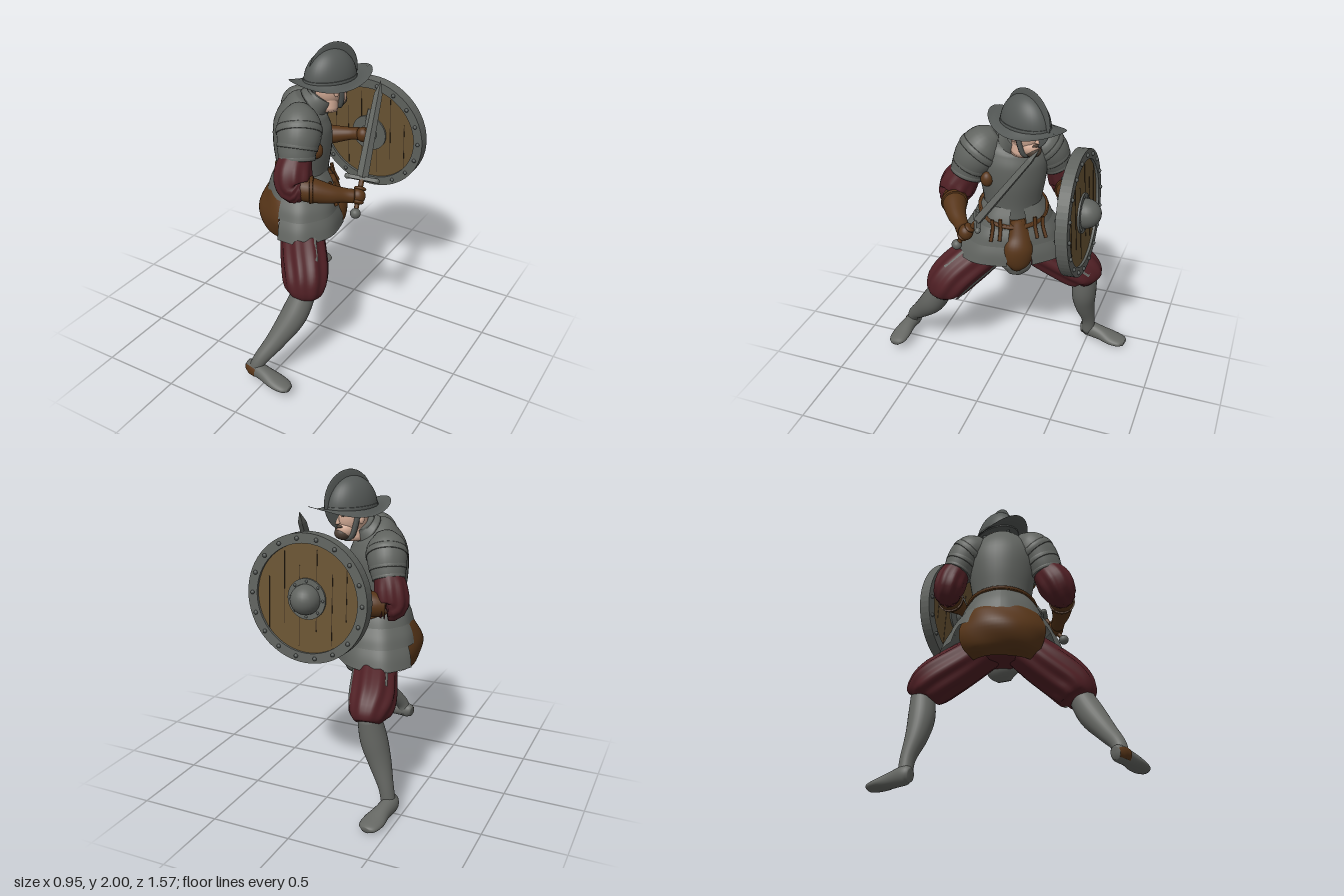
import * as THREE from 'three';

const V = (x, y, z) => new THREE.Vector3(x, y, z);
const paint = (name, color) => {
  const m = new THREE.MeshStandardMaterial({ color, side: THREE.DoubleSide });
  m.name = name;
  return m;
};

// Skin through elliptical sections [x, y, z, halfWidth, halfDepth]; ref is the facing of angle 0.
function loft(sections, ref, { n = 28, steps = 5, from = 0, to = Math.PI * 2, grow = 1, mod } = {}) {
  const centre = new THREE.CatmullRomCurve3(sections.map(s => V(s[0], s[1], s[2])), false, 'catmullrom');
  const size = new THREE.CatmullRomCurve3(sections.map(s => V(s[3], s[4] ?? s[3], 0)), false, 'catmullrom');
  const full = to - from > 6.28, cols = full ? n : n + 1, rows = (sections.length - 1) * steps;
  const pos = [], idx = [];
  for (let i = 0; i <= rows; i++) {
    const u = i / rows, c = centre.getPoint(u), r = size.getPoint(u), t = centre.getTangent(u);
    const f = ref.clone().addScaledVector(t, -t.dot(ref)).normalize(), s = t.clone().cross(f);
    for (let j = 0; j < cols; j++) {
      const th = from + (to - from) * j / n, [k, lift] = mod ? mod(th, u) : [1, 0];
      const p = c.clone().addScaledVector(s, r.x * k * grow * Math.sin(th))
        .addScaledVector(f, r.y * k * grow * Math.cos(th)).addScaledVector(t, lift);
      pos.push(p.x, p.y, p.z);
      if (i < rows && (full || j < n)) {
        const a = i * cols + j, b = i * cols + (j + 1) % cols;
        idx.push(a, b, b + cols, a, b + cols, a + cols);
      }
    }
  }
  if (full) for (const [row, p] of [[0, sections[0]], [rows, sections[sections.length - 1]]]) {
    const k = pos.push(p[0], p[1], p[2]) / 3 - 1;
    for (let j = 0; j < n; j++) {
      const a = row * cols + j, b = row * cols + (j + 1) % n;
      idx.push(...(row ? [a, b, k] : [b, a, k]));
    }
  }
  const g = new THREE.BufferGeometry();
  g.setAttribute('position', new THREE.Float32BufferAttribute(pos, 3));
  g.setIndex(idx);
  g.computeVertexNormals();
  return g;
}

const faceted = g => { const f = g.toNonIndexed(); f.computeVertexNormals(); return f; };

export function createModel() {
  const steel = paint('steel', 0x60635f), darkSteel = paint('dark steel', 0x545856);
  const hose = paint('grey hose', 0x656763), red = paint('dark red cloth', 0x4f1f24);
  const leather = paint('brown leather', 0x573518), wood = paint('shield wood', 0x6a5433);
  const groove = paint('dark groove', 0x3c2e1e), skin = paint('skin', 0xdab19b);
  const hair = paint('hair', 0x4d4036);
  const model = new THREE.Group();
  const sub = (name, parent = model) => { const g = new THREE.Group(); g.name = name; parent.add(g); return g; };
  const add = (parent, name, geo, mat, p = [0, 0, 0], s = [1, 1, 1], r = [0, 0, 0]) => {
    const m = new THREE.Mesh(geo, mat);
    m.name = name;
    m.position.set(...p); m.scale.set(...s); m.rotation.set(...r);
    parent.add(m);
    return m;
  };
  const ball = new THREE.SphereGeometry(1, 24, 16);
  const up = V(0, 1, 0), F = V(0.88, 0, -0.47).normalize();   // F: torso facing
  const S = V(-0.47, 0, -0.88).normalize();                   // towards the shield arm
  const at = (y, f, s) => [-0.14 + F.x * f + S.x * s, y, -0.02 + F.z * f + S.z * s];
  const body = (y, a, b, f = 0) => [...at(y, f, 0), a, b];

  // Torso armour
  const torso = sub('torso');
  add(torso, 'cuirass', loft([body(1.1, 0.185, 0.155), body(1.2, 0.185, 0.16), body(1.36, 0.21, 0.18),
    body(1.5, 0.215, 0.175), body(1.6, 0.17, 0.135, 0.02), body(1.66, 0.09, 0.09, 0.05)], F,
  { n: 36, mod: th => [1 + 0.05 * Math.pow(Math.max(0, Math.cos(th)), 12), 0] }), steel);
  add(torso, 'gorget', loft([[-0.09, 1.62, -0.06, 0.12, 0.11], [-0.06, 1.65, -0.08, 0.09], [-0.05, 1.67, -0.09, 0.083]], F), steel);
  add(torso, 'belt', loft([body(1.138, 0.222, 0.2, 0.018), body(1.152, 0.228, 0.208, 0.023), body(1.166, 0.218, 0.196, 0.028)], F), leather);
  add(torso, 'armholeStrap', ball, leather, at(1.39, 0.1, -0.18), [0.04, 0.05, 0.04]);

  // Skirt of overlapping plates, open at the groin and the seat
  const skirt = sub('plateSkirt');
  const lames = [[1.2, 0.185, 0.162, 1.05, 0.265, 0.22, Math.PI, Math.PI], [1.08, 0.25, 0.21, 0.96, 0.325, 0.25, 2.5, 2.15],
    [0.99, 0.305, 0.24, 0.84, 0.38, 0.275, 2.25, 2.1]];
  for (const [y0, a0, b0, y1, a1, b1, shieldEnd, swordEnd] of lames) for (const side of [1, -1]) {
    const [from, to] = side > 0 ? [0.22, shieldEnd] : [-swordEnd, -0.22];
    add(skirt, 'skirtPlate', loft([body(y1, a1, b1), body((y0 + y1) / 2, (a0 + a1) / 2 + 0.008, (b0 + b1) / 2 + 0.008),
      body(y0, a0, b0)], F, { from, to, mod: th => [1 + 0.012 * Math.cos(th * 8), 0] }), steel);
  }
  add(skirt, 'leatherSeat', loft([body(0.75, 0.21, 0.18), body(0.81, 0.28, 0.25), body(0.92, 0.31, 0.28), body(1.03, 0.275, 0.235),
    body(1.1, 0.225, 0.19)], F, { from: 2.2, to: 4.22, mod: (th, u) => [1 + 0.02 * Math.sin(th * 5 + u * 9), 0] }), leather);
  add(skirt, 'pelvis', loft([body(0.77, 0.1, 0.1), body(0.84, 0.2, 0.17), body(0.95, 0.21, 0.18), body(1.08, 0.17, 0.14)], F), red);
  add(skirt, 'codpiece', loft([[0.06, 0.79, -0.11, 0.03], [0.06, 0.85, -0.12, 0.085, 0.06], [0.05, 0.94, -0.12, 0.1, 0.075],
    [0.03, 1.02, -0.12, 0.075, 0.055], [0.01, 1.12, -0.1, 0.045, 0.04]], F), leather);
  add(skirt, 'loincloth', loft([[0.02, 0.72, -0.09, 0.04, 0.03], [0.0, 0.77, -0.09, 0.1, 0.07], [-0.02, 0.84, -0.08, 0.1, 0.08]], F), hose);
  for (const s of [-0.16, -0.11, 0.11, 0.16]) {
    const g = new THREE.TubeGeometry(new THREE.CatmullRomCurve3([V(...at(1.14, 0.18, s)), V(...at(1.08, 0.195, s)),
      V(...at(1.01, 0.225, s * 1.1))]), 8, 0.012, 6);
    add(skirt, 'hangingStrap', g, leather);
  }

  // Legs: puffed breeches with a pale panel and a slash, hose and shoes
  const flute = (th, u) => [1 + 0.05 * Math.cos(th * 9) * Math.sin(Math.PI * u), 0];
  const leg = (name, thigh, shin, shoe, ref, mid, slash) => {
    const g = sub(name);
    add(g, 'breeches', loft(thigh, ref, { n: 72, mod: flute }), red);
    add(g, 'breechesPanel', loft(thigh.slice(0, -1), ref, { n: 6, from: mid - 0.12, to: mid + 0.12, grow: 1.055 }), hose);
    add(g, 'breechesSlash', loft(thigh.slice(1, 3), ref, { n: 4, from: slash - 0.06, to: slash + 0.06, grow: 1.055 }), hose);
    add(g, 'hose', loft(shin, ref), hose);
    add(g, 'shoe', loft(shoe, up), hose);
    return g;
  };
  leg('frontLeg',
    [[-0.16, 0.9, -0.06, 0.12], [-0.205, 0.8, -0.22, 0.132], [-0.265, 0.69, -0.4, 0.14], [-0.28, 0.63, -0.49, 0.12], [-0.285, 0.58, -0.52, 0.075]],
    [[-0.285, 0.63, -0.5, 0.07], [-0.31, 0.46, -0.48, 0.083], [-0.35, 0.32, -0.48, 0.07], [-0.4, 0.17, -0.5, 0.047], [-0.42, 0.05, -0.5, 0.045]],
    [[-0.43, 0.055, -0.45, 0.03, 0.04], [-0.43, 0.06, -0.49, 0.048, 0.058], [-0.415, 0.05, -0.59, 0.052, 0.05],
      [-0.4, 0.037, -0.68, 0.07, 0.036], [-0.39, 0.03, -0.75, 0.06, 0.026], [-0.385, 0.025, -0.775, 0.03, 0.018]],
    V(1, 0, 0), -0.62, -2.35);
  const rearLeg = leg('rearLeg',
    [[-0.08, 0.9, 0.06, 0.125], [-0.015, 0.79, 0.18, 0.14], [0.08, 0.67, 0.31, 0.143], [0.115, 0.58, 0.37, 0.125], [0.12, 0.52, 0.39, 0.075]],
    [[0.12, 0.57, 0.38, 0.075], [0.09, 0.42, 0.47, 0.083], [0.03, 0.28, 0.585, 0.062], [-0.03, 0.17, 0.68, 0.045], [-0.055, 0.09, 0.7, 0.045]],
    [[-0.11, 0.1, 0.69, 0.03, 0.035], [-0.075, 0.105, 0.695, 0.045, 0.05], [0.02, 0.1, 0.71, 0.05, 0.045],
      [0.11, 0.085, 0.72, 0.062, 0.035], [0.18, 0.075, 0.725, 0.055, 0.025], [0.215, 0.07, 0.725, 0.03, 0.016]],
    V(0.6, 0, -0.8), -0.35, 1.3);
  add(rearLeg, 'heelPatch', loft([[-0.11, 0.1, 0.69, 0.034, 0.038], [-0.075, 0.105, 0.695, 0.05, 0.053], [-0.02, 0.103, 0.703, 0.053, 0.051]], up,
    { n: 12, from: 0.9, to: 2.3 }), leather);

  // Arms: pauldron with lames, puffed sleeve, leather gauntlet
  const arm = (name, pauldron, sleeve, gauntlet, hand) => {
    const g = sub(name);
    add(g, 'pauldron', loft(pauldron, F), steel);
    for (let i = 2; i < pauldron.length; i++) {
      const [x, y, z, r] = pauldron[i], [px, py, pz] = pauldron[i - 1];
      const mix = k => [x + (px - x) * k, y + (py - y) * k, z + (pz - z) * k];
      add(g, 'pauldronLame', loft([[...mix(0), r * 1.03], [...mix(0.25), r * 1.05], [...mix(0.5), r * 1.02]], F), steel);
    }
    add(g, 'sleeve', loft(sleeve, F, { n: 48, mod: flute }), red);
    add(g, 'gauntlet', loft(gauntlet, up), leather);
    const [x, y, z, r] = gauntlet[1], n = gauntlet[2];
    add(g, 'gauntletCuff', loft([[x, y, z, r * 1.12], [x * 0.8 + n[0] * 0.2, y, z * 0.8 + n[2] * 0.2, r * 1.06]], up), leather);
    add(g, 'hand', ball, leather, hand, [0.047, 0.05, 0.045]);
    return g;
  };
  const swordArm = arm('swordArm',
    [[-0.1, 1.64, 0.07, 0.06], [-0.065, 1.59, 0.13, 0.122], [-0.035, 1.52, 0.18, 0.135], [-0.025, 1.44, 0.22, 0.12], [-0.015, 1.38, 0.24, 0.108]],
    [[-0.02, 1.4, 0.24, 0.095], [-0.01, 1.31, 0.295, 0.114], [0.015, 1.24, 0.32, 0.1], [0.08, 1.23, 0.3, 0.06]],
    [[0.03, 1.24, 0.31, 0.07], [0.1, 1.23, 0.285, 0.076], [0.2, 1.205, 0.23, 0.06], [0.27, 1.19, 0.175, 0.045], [0.32, 1.18, 0.14, 0.043]],
    [0.335, 1.175, 0.115]);
  const shieldArm = arm('shieldArm',
    [[-0.22, 1.62, -0.12, 0.06], [-0.245, 1.57, -0.16, 0.112], [-0.27, 1.51, -0.21, 0.12], [-0.29, 1.44, -0.24, 0.108], [-0.305, 1.39, -0.26, 0.095]],
    [[-0.3, 1.42, -0.26, 0.085], [-0.33, 1.33, -0.285, 0.098], [-0.34, 1.25, -0.3, 0.092], [-0.27, 1.24, -0.34, 0.06]],
    [[-0.31, 1.25, -0.32, 0.065], [-0.23, 1.26, -0.355, 0.076], [-0.12, 1.28, -0.385, 0.06], [-0.01, 1.3, -0.41, 0.042], [0.05, 1.31, -0.42, 0.042]],
    [0.08, 1.31, -0.42]);
  for (let i = 0; i < 4; i++) add(shieldArm, 'finger', ball, leather, [0.115, 1.35 - i * 0.024, -0.43], [0.024, 0.013, 0.03]);

  // Sword
  const sword = sub('sword', swordArm);
  const axis = V(-0.1, 0.67, -0.48).normalize(), gx = V(0.18, 0, -0.1);
  gx.addScaledVector(axis, -gx.dot(axis)).normalize();
  sword.position.set(0.35, 1.085, 0.17);
  sword.quaternion.setFromRotationMatrix(new THREE.Matrix4().makeBasis(gx, axis, gx.clone().cross(axis)));
  add(sword, 'pommel', ball, steel, [0, 0, 0], [0.032, 0.032, 0.032]);
  add(sword, 'grip', new THREE.CylinderGeometry(0.016, 0.014, 0.2, 12), leather, [0, 0.11, 0]);
  for (let i = 0; i < 4; i++) add(sword, 'finger', ball, leather, [0, 0.07 + i * 0.027, 0.01], [0.038, 0.015, 0.034]);
  add(sword, 'guard', new THREE.BoxGeometry(0.17, 0.024, 0.03), steel, [0, 0.215, 0]);
  for (const s of [1, -1]) add(sword, 'guardEnd', ball, steel, [s * 0.088, 0.215, 0], [0.02, 0.018, 0.018]);
  add(sword, 'blade', faceted(new THREE.CylinderGeometry(0.026, 0.036, 0.52, 4)), steel, [0, 0.48, 0], [1, 1, 0.75]);
  add(sword, 'bladeTip', faceted(new THREE.ConeGeometry(0.026, 0.09, 4)), steel, [0, 0.785, 0], [1, 1, 0.75]);

  // Round shield; its local +z is the outer face
  const shield = sub('shield');
  shield.position.set(0.09, 1.3, -0.515);
  shield.lookAt(0.09, 1.365, -1.515);
  const flat = [Math.PI / 2, 0, 0];
  add(shield, 'shieldBoard', new THREE.CylinderGeometry(0.345, 0.345, 0.04, 64), wood, [0, 0, 0], [1, 1, 1], flat);
  const rim = [[0.325, -0.036], [0.385, -0.036], [0.385, 0.036], [0.325, 0.036], [0.325, -0.036]].map(p => new THREE.Vector2(...p));
  add(shield, 'shieldRim', faceted(new THREE.LatheGeometry(rim, 64)), steel, [0, 0, 0], [1, 1, 1], flat);
  [-0.25, -0.15, -0.05, 0.06, 0.16, 0.25].forEach((x, i) => {
    for (const s of [1, -1]) add(shield, 'plankGroove',
      new THREE.BoxGeometry(0.004, 1.5 * Math.sqrt(0.326 ** 2 - x * x), 0.003), groove, [x, (i % 2 - 0.5) * 0.1, s * 0.0205]);
  });
  const stud = new THREE.SphereGeometry(0.013, 10, 6);
  for (let i = 0; i < 18; i++) for (const s of [1, -1]) {
    const a = i / 18 * Math.PI * 2;
    add(shield, 'rimRivet', stud, darkSteel, [0.355 * Math.cos(a), 0.355 * Math.sin(a), s * 0.038]);
  }
  for (let i = 0; i < 8; i++)
    add(shield, 'bossRivet', stud, darkSteel, [0.105 * Math.cos(i * Math.PI / 4), 0.105 * Math.sin(i * Math.PI / 4), 0.03], [0.7, 0.7, 0.7]);
  add(shield, 'bossFlange', new THREE.CylinderGeometry(0.122, 0.122, 0.064, 36), steel, [0, 0, 0], [1, 1, 1], flat);
  add(shield, 'boss', ball, steel, [0, 0, 0.04], [0.09, 0.09, 0.095]);
  const strap = new THREE.CatmullRomCurve3([V(0, 0.17, -0.02), V(0, 0.1, -0.055), V(0, 0, -0.085), V(0, -0.1, -0.055), V(0, -0.17, -0.02)]);
  add(shield, 'shieldHandle', new THREE.TubeGeometry(strap, 24, 0.011, 8), steel);

  // Head, turned towards the shield
  const head = sub('head');
  head.position.set(-0.01, 1.72, -0.135);
  head.rotation.y = 2.67;
  add(head, 'skull', ball, skin, [0, 0.01, 0], [0.088, 0.125, 0.108]);
  add(head, 'jaw', ball, skin, [0, -0.07, 0.045], [0.064, 0.06, 0.068]);
  add(head, 'neck', loft([[0, -0.14, -0.02, 0.07], [0, 0, -0.01, 0.068]], V(0, 0, 1)), skin);
  add(head, 'nose', loft([[0, -0.035, 0.108, 0.017, 0.024], [0, -0.01, 0.107, 0.012, 0.018], [0, 0.035, 0.1, 0.009, 0.01]], V(0, 0, 1), { n: 10 }), skin);
  add(head, 'beard', ball, hair, [0, -0.095, 0.068], [0.05, 0.042, 0.054]);
  add(head, 'moustache', ball, hair, [0, -0.05, 0.102], [0.036, 0.01, 0.016]);
  for (const s of [1, -1]) {
    add(head, 'eye', ball, hair, [s * 0.034, 0.015, 0.097], [0.013, 0.006, 0.005]);
    add(head, 'ear', ball, skin, [s * 0.087, -0.01, -0.005], [0.012, 0.028, 0.018]);
    add(head, 'chinStrap', new THREE.TubeGeometry(new THREE.CatmullRomCurve3([V(s * 0.088, 0.06, 0.02), V(s * 0.08, -0.04, 0.035),
      V(s * 0.055, -0.11, 0.045), V(0, -0.132, 0.05)]), 16, 0.017, 6), darkSteel);
  }

  // Combed helmet with a boat-shaped brim: thin raised peak in front, turned-up tail behind
  const helmet = sub('helmet', head);
  add(helmet, 'helmetBowl', new THREE.SphereGeometry(1, 36, 16, 0, Math.PI * 2, 0, Math.PI / 2), darkSteel, [0, 0.05, 0.005], [0.122, 0.19, 0.178]);
  add(helmet, 'helmetComb', ball, darkSteel, [0, 0.095, 0.025], [0.013, 0.185, 0.18]);
  add(helmet, 'helmetBand', loft([[0, 0.05, 0.004, 0.124, 0.18], [0, 0.062, 0.004, 0.126, 0.181], [0, 0.075, 0.004, 0.124, 0.178]], V(0, 0, 1)), darkSteel);
  const sweep = (th, u) => [1 + 0.04 * Math.cos(th) * (1 - u), 0.07 * Math.cos(th) ** 2 * (1 - u)];
  add(helmet, 'helmetBrim', loft([[0, 0.018, 0, 0.165, 0.285], [0, 0.03, 0, 0.148, 0.235], [0, 0.06, 0, 0.12, 0.174]], V(0, 0, 1),
    { n: 48, from: 0, to: 6.28, mod: sweep }), darkSteel);
  return model;
}
